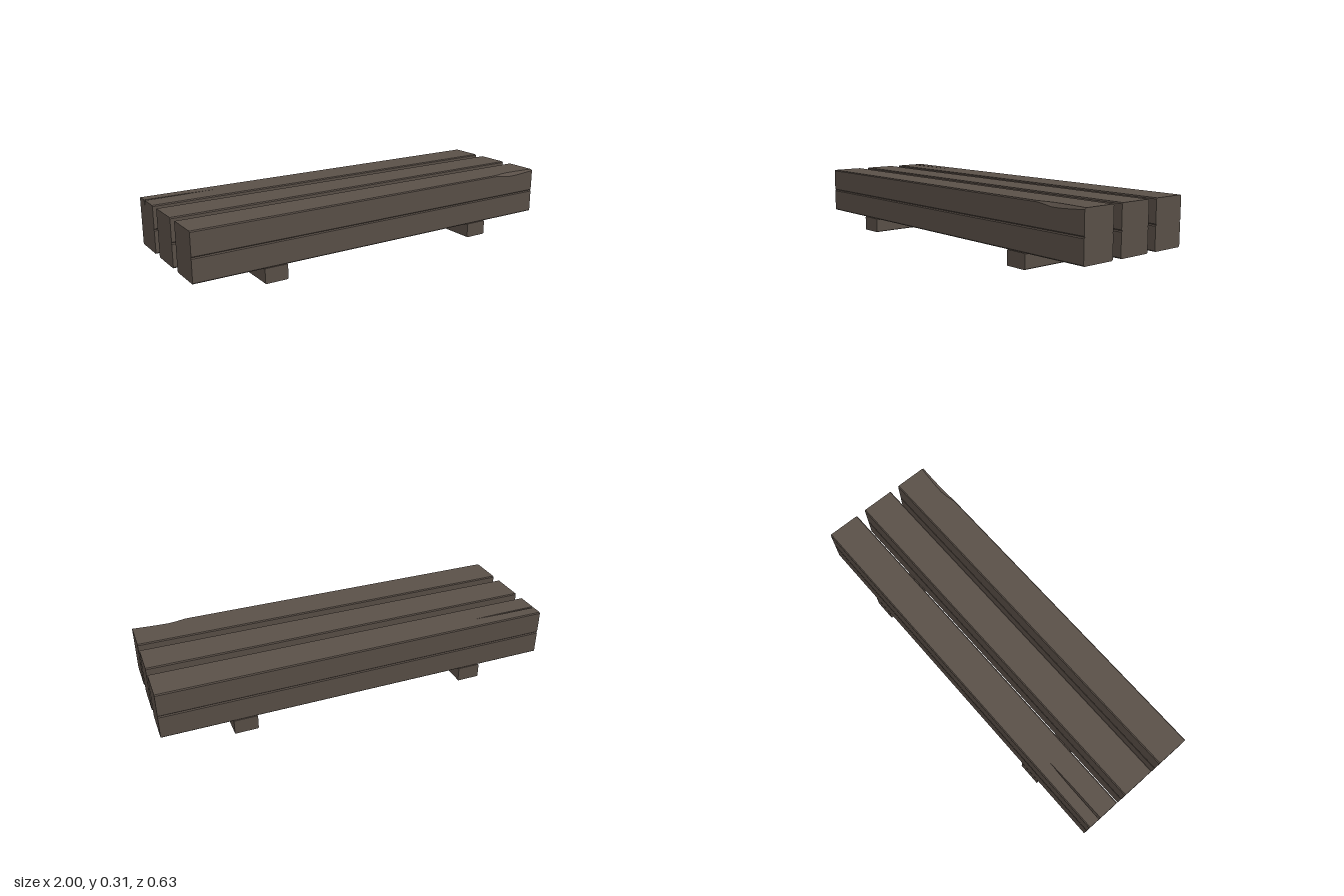
import * as THREE from 'three';

const wood = new THREE.MeshStandardMaterial({ color: 0x5a5048 });
wood.name = 'weathered wood';

const W = 0.088, H = 0.0595, BEVEL = 0.005;

// Bevelled beam section as [z, y], counter-clockwise seen from +x.
// cut: size of the front top corner cut [z, y]; notch: split in the top [z, half width, depth]
function section(w, h, b, cut = [b, b], notch = null) {
  const pts = [[-w + b, -h], [-w, -h + b], [-w, h - b], [-w + b, h]];
  if (notch) {
    const [z, half, depth] = notch;
    pts.push([z - half, h], [z, h - depth], [z + half, h]);
  }
  pts.push([w - cut[0], h], [w, h - cut[1]], [w, -h + b], [w - b, -h]);
  return pts;
}

// Skin a row of sections placed along x, with flat end caps
function loft(stations) {
  const pos = [];
  const add = (x, p) => pos.push(x, p[1], p[0]);
  for (let i = 0; i < stations.length - 1; i++) {
    const [x0, s0] = stations[i], [x1, s1] = stations[i + 1];
    for (let a = 0; a < s0.length; a++) {
      const b = (a + 1) % s0.length;
      add(x0, s0[a]); add(x0, s0[b]); add(x1, s1[b]);
      add(x0, s0[a]); add(x1, s1[b]); add(x1, s1[a]);
    }
  }
  const cap = ([x, s], flip) => {
    const outline = s.map(([z, y]) => new THREE.Vector2(-z, y));
    for (const tri of THREE.ShapeUtils.triangulateShape(outline, [])) {
      const order = flip ? [tri[2], tri[1], tri[0]] : tri;
      order.forEach((k) => add(x, s[k]));
    }
  };
  cap(stations[0], true);
  cap(stations[stations.length - 1], false);
  const geo = new THREE.BufferGeometry();
  geo.setAttribute('position', new THREE.Float32BufferAttribute(pos, 3));
  geo.computeVertexNormals();
  return geo;
}

export function createModel() {
  const group = new THREE.Group();
  const addPart = (name, geo, x, y, z) => {
    const mesh = new THREE.Mesh(geo, wood);
    mesh.name = name;
    mesh.position.set(x, y, z);
    group.add(mesh);
    return mesh;
  };

  const plain = section(W, H, BEVEL);
  const beam = loft([[-1, plain], [1, plain]]);

  // Front top beam with a splintered corner near its left end
  const chips = [[-1, BEVEL, BEVEL], [0.73, BEVEL, BEVEL], [0.78, 0.016, 0.011],
    [0.82, 0.021, 0.017], [0.88, 0.019, 0.016], [0.95, 0.014, 0.011], [1, 0.009, 0.007]];
  const chipped = loft(chips.map(([x, cz, cy]) => [x, section(W, H, BEVEL, [cz, cy])]));

  // Back top beam with a tapering split running in from its right end
  const splits = [[-1, 0.005, 0.03], [-0.8, 0.004, 0.02], [-0.65, 0.0005, 0], [1, 0.0005, 0]];
  const split = loft(splits.map(([x, half, depth]) =>
    [x, section(W, H, BEVEL, [BEVEL, BEVEL], [-0.023, half, depth])]));

  // Three stacks of two beams
  const stacks = [['back', -0.227, split], ['middle', 0, beam], ['front', 0.227, chipped]];
  for (const [name, z, top] of stacks) {
    addPart(name + 'LowerBeam', beam, 0, 0.1335, z);
    addPart(name + 'UpperBeam', top, 0, 0.2525, z);
  }

  // Two cross skids underneath
  const skidSection = section(0.0585, 0.037, 0.003);
  const skid = loft([[-0.315, skidSection], [0.315, skidSection]]);
  for (const side of [-1, 1]) {
    const mesh = addPart(side < 0 ? 'rightSkid' : 'leftSkid', skid, side * 0.6, 0.037, 0);
    mesh.rotation.y = Math.PI / 2;
  }
  return group;
}
